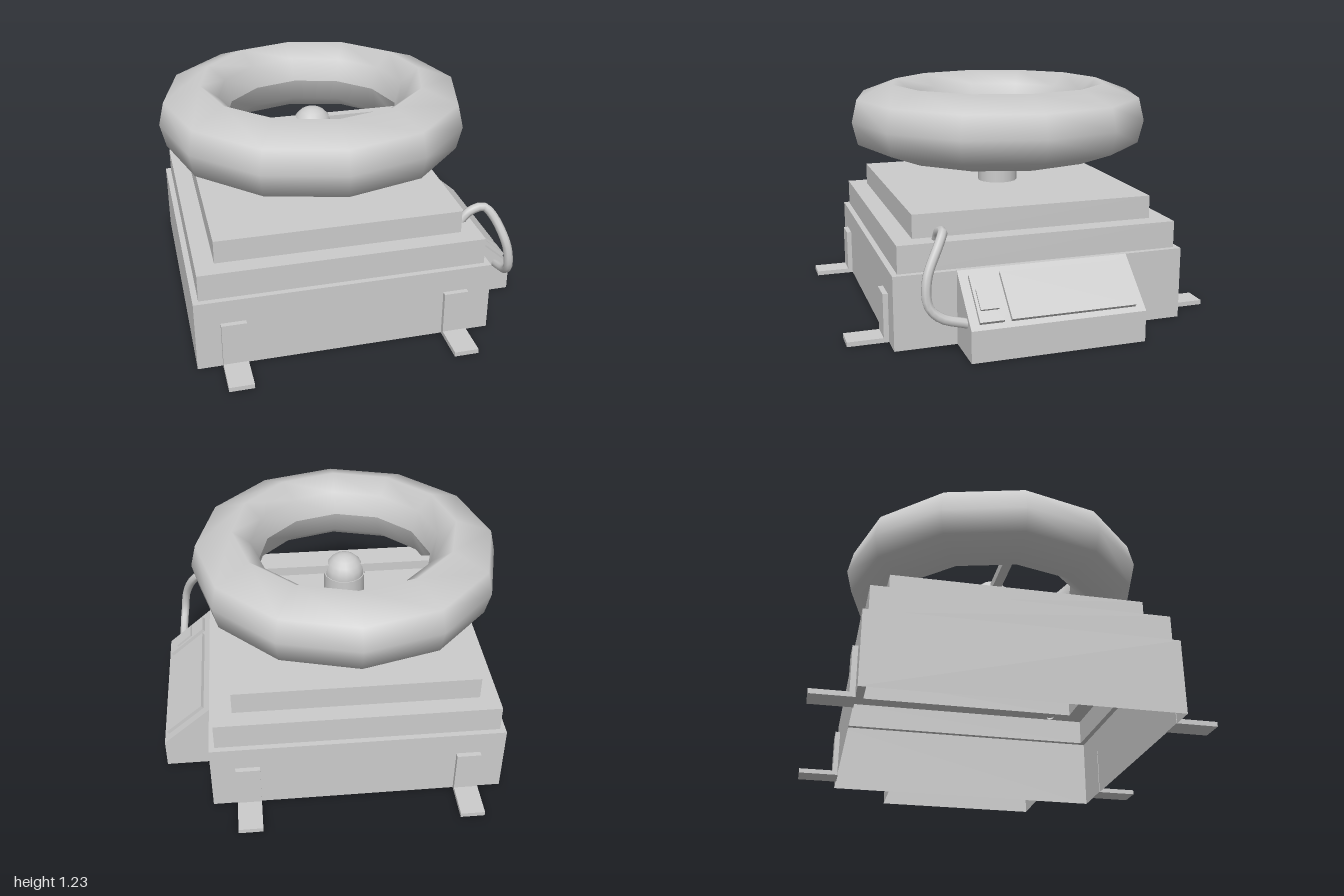
import * as THREE from 'three';

const grey = () => new THREE.MeshStandardMaterial({ color: 0xcccccc });
const shellMat = () => new THREE.MeshStandardMaterial({ color: 0xcccccc, side: THREE.DoubleSide, flatShading: true });
const CX = -0.105; // axis of the base and wheel

function add(parent, name, geometry, x = 0, y = 0, z = 0, material = grey()) {
  const mesh = new THREE.Mesh(geometry, material);
  mesh.name = name;
  mesh.position.set(x, y, z);
  parent.add(mesh);
  return mesh;
}

// Flat-faced surface from a list of quads, each with four corners
function quads(list) {
  const pos = [];
  for (const [a, b, c, d] of list) pos.push(...a, ...b, ...c, ...a, ...c, ...d);
  const g = new THREE.BufferGeometry();
  g.setAttribute('position', new THREE.Float32BufferAttribute(pos, 3));
  g.computeVertexNormals();
  return g;
}

// Stepped housing, hollow and open underneath: sections are [half x, half z, y]
function steppedShell(sections) {
  const ring = ([w, d, y]) => [[-w, y, d], [w, y, d], [w, y, -d], [-w, y, -d]];
  const faces = [];
  for (let i = 0; i < sections.length - 1; i++) {
    const lo = ring(sections[i]), hi = ring(sections[i + 1]);
    for (let k = 0; k < 4; k++) {
      const n = (k + 1) % 4;
      faces.push([lo[k], lo[n], hi[n], hi[k]]);
    }
  }
  faces.push(ring(sections[sections.length - 1]));
  return quads(faces);
}

export function createModel() {
  const model = new THREE.Group();
  model.name = 'wheelOnBase';

  // Three-tier housing
  add(model, 'steppedBase', steppedShell([
    [0.785, 0.785, 0], [0.785, 0.785, 0.39],
    [0.755, 0.755, 0.39], [0.755, 0.755, 0.535],
    [0.655, 0.655, 0.535], [0.655, 0.655, 0.66],
  ]), CX, 0, 0, shellMat());

  // Floor brackets at front and back
  for (const side of [1, -1]) {
    for (const x of [-0.695, 0.485]) {
      const bracket = new THREE.Group();
      bracket.name = 'floorBracket';
      add(bracket, 'bracketPlate', new THREE.BoxGeometry(0.13, 0.26, 0.03), x, 0.13, side * 0.797);
      add(bracket, 'bracketFoot', new THREE.BoxGeometry(0.13, 0.025, 0.2), x, 0.0125, side * 0.9);
      model.add(bracket);
    }
  }

  // Column, hub and cross bar
  add(model, 'column', new THREE.CylinderGeometry(0.112, 0.112, 0.28, 16), CX, 0.8, 0);
  add(model, 'hub', new THREE.SphereGeometry(0.108, 16, 10), CX, 0.945, 0);
  add(model, 'crossBar', new THREE.BoxGeometry(1.1, 0.05, 0.05), CX, 0.975, 0);

  // Twelve-sided fat rim, closed profile running outside upward
  const profile = [
    [0.475, 0], [0.51, -0.125], [0.605, -0.2], [0.805, -0.125], [0.835, 0],
    [0.805, 0.125], [0.605, 0.2], [0.51, 0.125], [0.475, 0],
  ].map(([r, y]) => new THREE.Vector2(r, y));
  add(model, 'wheelRim', new THREE.LatheGeometry(profile, 12), CX, 1.03, 0);

  // Side console: sloping top, open underneath
  const outline = [[0.68, 0], [0.94, 0], [0.94, 0.165], [0.68, 0.39]];
  const [f, b] = [0.46, -0.46].map((z) => outline.map(([x, y]) => [x, y, z]));
  add(model, 'console', quads([
    f, [b[3], b[2], b[1], b[0]],
    [f[1], b[1], b[2], f[2]], [f[2], b[2], b[3], f[3]],
  ]), 0, 0, 0, shellMat());

  // Screen and switch lying on the slope
  const panel = new THREE.Group();
  panel.name = 'controlPanel';
  panel.position.set(0.814, 0.274, 0);
  panel.rotation.z = -Math.atan2(0.225, 0.26);
  add(panel, 'screen', new THREE.BoxGeometry(0.27, 0.03, 0.66), 0, 0.005, -0.08);
  add(panel, 'switchPlate', new THREE.BoxGeometry(0.27, 0.03, 0.125), 0, 0.005, 0.35);
  add(panel, 'switchButton', new THREE.BoxGeometry(0.115, 0.03, 0.095), 0.015, 0.017, 0.35);
  model.add(panel);

  // Cable from the housing to the console
  const path = new THREE.CatmullRomCurve3([
    [0.59, 0.535, 0.54], [0.635, 0.585, 0.54], [0.72, 0.605, 0.54], [0.765, 0.56, 0.57],
    [0.825, 0.41, 0.645], [0.845, 0.28, 0.645], [0.855, 0.22, 0.59], [0.857, 0.175, 0.45],
  ].map((p) => new THREE.Vector3(...p)));
  add(model, 'cable', new THREE.TubeGeometry(path, 24, 0.025, 8), 0, 0, 0,
    new THREE.MeshStandardMaterial({ color: 0xcccccc, side: THREE.DoubleSide }));

  return model;
}
